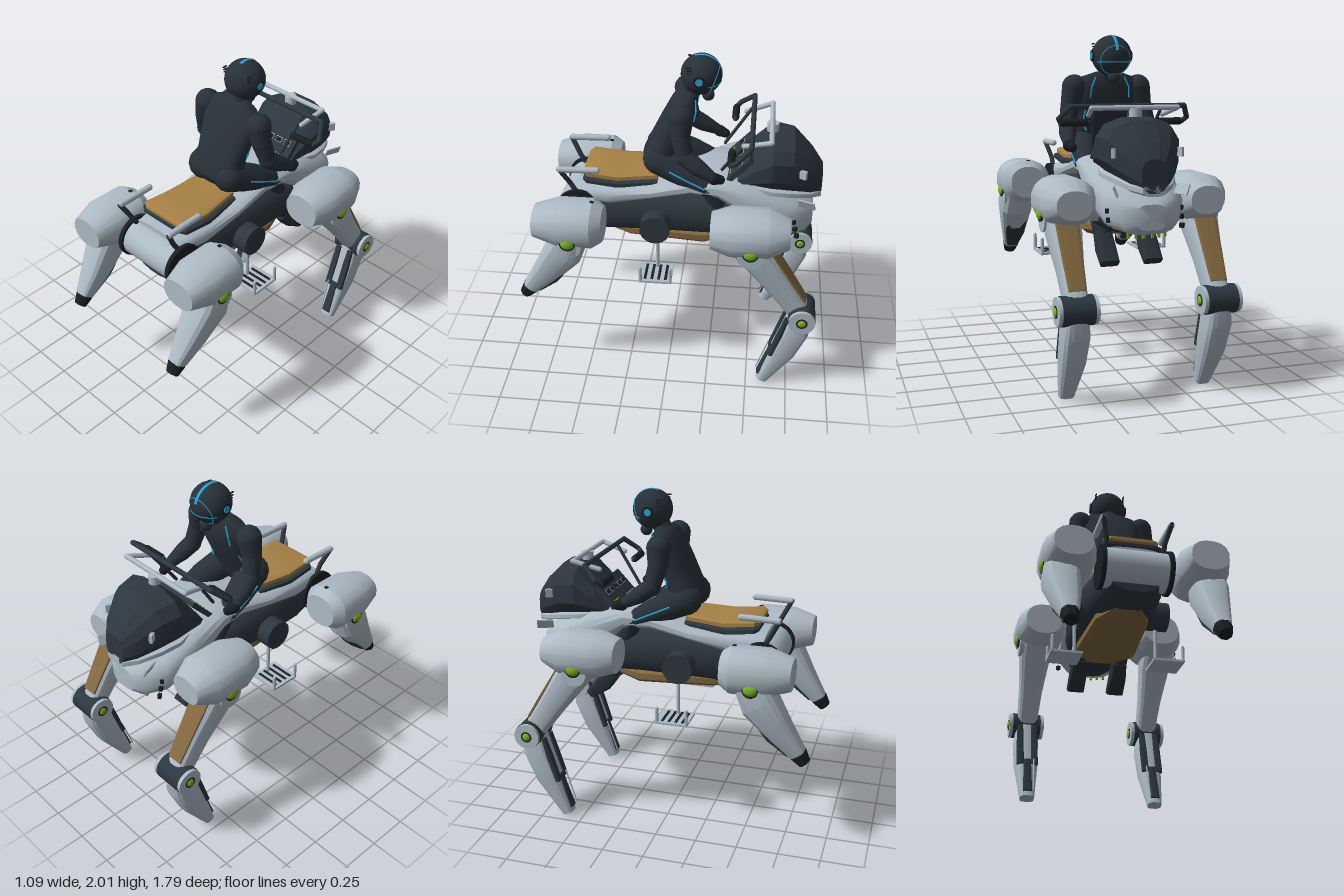
import * as THREE from 'three';
import { mergeGeometries, toCreasedNormals } from 'three/addons/utils/BufferGeometryUtils.js';

const paint = (name, color) => {
  const m = new THREE.MeshStandardMaterial({ color });
  m.name = name;
  return m;
};
const V = (x, y, z) => new THREE.Vector3(x, y, z);

export function createModel() {
  const root = new THREE.Group();
  root.name = 'walkingBikeWithRider';
  const light = paint('paleGrey', 0xadbbc5), dark = paint('darkSlate', 0x2d373f), suit = paint('suitBlack', 0x283138);
  const black = paint('black', 0x1a1e22), tan = paint('tan', 0xa78145), brown = paint('brown', 0x83693f);
  const blue = paint('cyan', 0x27a5d3), green = paint('green', 0x78b622);

  const add = (name, mat, geo, pos = [0, 0, 0], rot = [0, 0, 0]) => {
    const m = new THREE.Mesh(geo, mat);
    m.name = name;
    m.position.set(...pos);
    m.rotation.set(...rot);
    root.add(m);
    return m;
  };

  // Skin over cross-sections [x, y, z, half width, half depth]; e sets how boxy the section is
  const loft = (name, mat, st, { n = 16, e = 2, dir = null, crease = 0.6 } = {}) => {
    const c = st.map(s => V(s[0], s[1], s[2]));
    const t = dir ? V(...dir) : c[c.length - 1].clone().sub(c[0]).normalize();
    const X = V(1, 0, 0).addScaledVector(t, -t.x).normalize();
    const U = new THREE.Vector3().crossVectors(t, X);
    const pos = [], idx = [];
    const curve = v => Math.sign(v) * Math.pow(Math.abs(v), 2 / e);
    st.forEach((s, i) => {
      for (let j = 0; j < n; j++) {
        const a = (j + 0.5) / n * Math.PI * 2;
        const p = c[i].clone().addScaledVector(X, curve(Math.cos(a)) * s[3]).addScaledVector(U, curve(Math.sin(a)) * s[4]);
        pos.push(p.x, p.y, p.z);
      }
    });
    const last = st.length - 1, c0 = st.length * n;
    pos.push(...c[0].toArray(), ...c[last].toArray());
    for (let j = 0; j < n; j++) {
      const k = (j + 1) % n;
      for (let i = 0; i < last; i++) {
        const a = i * n, b = a + n;
        idx.push(a + j, a + k, b + j, a + k, b + k, b + j);
      }
      idx.push(c0, k, j, c0 + 1, last * n + j, last * n + k);
    }
    const g = new THREE.BufferGeometry();
    g.setAttribute('position', new THREE.Float32BufferAttribute(pos, 3));
    g.setIndex(idx);
    return add(name, mat, toCreasedNormals(g, crease));
  };

  // Round rod through points; r may be one radius or one per point
  const rod = (name, mat, pts, r, seg = 10) => {
    const p = pts.map(q => V(...q)), rad = i => Array.isArray(r) ? r[i] : r, parts = [];
    p.forEach((a, i) => {
      parts.push(new THREE.SphereGeometry(rad(i), seg, 8).translate(a.x, a.y, a.z));
      if (!i) return;
      const b = p[i - 1], d = a.clone().sub(b), mid = a.clone().add(b).multiplyScalar(0.5);
      const g = new THREE.CylinderGeometry(rad(i), rad(i - 1), d.length(), seg);
      g.applyQuaternion(new THREE.Quaternion().setFromUnitVectors(V(0, 1, 0), d.normalize()));
      parts.push(g.translate(mid.x, mid.y, mid.z));
    });
    return add(name, mat, mergeGeometries(parts));
  };
  const box = (name, mat, size, pos, rot) => add(name, mat, new THREE.BoxGeometry(...size), pos, rot);
  const drum = (name, mat, r, len, pos, seg = 24) => add(name, mat, new THREE.CylinderGeometry(r, r, len, seg).rotateZ(Math.PI / 2), pos);
  const back = [0, 0, 1], ahead = [0, 0, -1];

  // Hull, shell and belly
  loft('hull', dark, [[0, 1.01, .6, .15, .11], [0, 1.025, .4, .2, .16], [0, 1.05, .1, .235, .165], [0, 1.04, -.3, .24, .15],
    [0, 1.02, -.6, .2, .12], [0, 1.0, -.76, .13, .08]], { dir: ahead, e: 2.6 });
  loft('upperShell', light, [[0, 1.14, .56, .18, .06], [0, 1.15, .36, .21, .07], [0, 1.19, .12, .225, .045], [0, 1.245, -.12, .225, .055],
    [0, 1.25, -.28, .245, .075], [0, 1.15, -.5, .26, .14], [0, 1.06, -.7, .235, .13], [0, 1.03, -.8, .165, .105], [0, 1.025, -.845, .09, .07]],
    { dir: ahead, e: 3, n: 20 });
  loft('bellyPlate', brown, [[0, .88, .42, .08, .012], [0, .892, .25, .16, .05], [0, .885, -.2, .19, .058], [0, .905, -.42, .12, .025]], { dir: ahead, e: 3 });
  drum('rearAxle', light, .115, .36, [0, 1.055, .555], 28);
  drum('frontAxle', light, .1, .5, [0, 1.06, -.48]);

  // Seat with dark rim
  const seat = (dx, dy) => [[0, 1.275 + dy, .525, .13 + dx, .01], [0, 1.275 + dy, .5, .162 + dx, .022], [0, 1.255 + dy, .32, .164 + dx, .022], [0, 1.27 + dy, .08, .14 + dx, .022]];
  loft('seat', tan, seat(0, 0), { dir: ahead, e: 5 });
  loft('seatRim', dark, seat(.02, -.035), { dir: ahead, e: 5 });

  // Fairing, built from upright slices
  const slice = [[-.39, 1.25, 1.31, .18], [-.47, 1.235, 1.43, .215], [-.59, 1.22, 1.55, .24], [-.71, 1.2, 1.535, .21], [-.82, 1.17, 1.43, .145], [-.885, 1.155, 1.34, .075]];
  loft('fairing', dark, slice.map(([z, a, b, w]) => [0, (a + b) / 2, z, w, (b - a) / 2]), { dir: ahead, n: 12, e: 2.6, crease: .3 });
  loft('fairingUnderside', light, slice.slice(1).map(([z, a, , w]) => [0, a + .018, z, w * .9, .032]), { dir: ahead, n: 12, e: 3 });

  // Dashboard with framed screens and lamps
  const slope = [.82, 0, 0];
  box('dashboard', dark, [.37, .03, .24], [0, 1.345, -.385], slope);
  for (let i = 0; i < 5; i++) {
    const x = -.13 + i * .065;
    box('screenFrame', light, [.046, .004, .034], [x, 1.388, -.405], slope);
    box('dashScreen', black, [.039, .007, .027], [x, 1.388, -.405], slope);
    box('dashLamp', green, [.012, .006, .01], [-.14 + i * .028, 1.34, -.357], slope);
    box('dashSwitch', light, [.01, .006, .008], [.04 + i * .025, 1.33, -.347], slope);
  }

  // Handlebar and crossbar
  rod('handlebar', dark, [[.2, 1.505, -.355], [.365, 1.505, -.355], [.385, 1.53, -.385], [.335, 1.6, -.465], [-.335, 1.6, -.465],
    [-.385, 1.53, -.385], [-.365, 1.505, -.355], [-.2, 1.505, -.355]], .015);
  rod('crossbar', light, [[.22, 1.55, -.42], [.25, 1.595, -.575], [-.25, 1.595, -.575], [-.22, 1.55, -.42]], .015);
  add('crossbarMount', light, new THREE.CylinderGeometry(.035, .035, .05, 16), [0, 1.57, -.58]);

  // Rider's torso, neck and head
  loft('torso', suit, [[0, 1.305, .05, .12, .05], [0, 1.34, .07, .17, .09], [0, 1.39, .07, .185, .105], [0, 1.48, .03, .155, .105], [0, 1.6, -.025, .18, .1],
    [0, 1.7, -.06, .19, .08], [0, 1.76, -.075, .16, .06], [0, 1.79, -.085, .07, .04]], { dir: [0, 1, 0], n: 24, e: 2.4, crease: 1.2 });
  rod('neck', suit, [[0, 1.75, -.085], [0, 1.83, -.13]], .055, 16);
  const H = [0, 1.882, -.159];
  add('helmet', suit, new THREE.SphereGeometry(.118, 32, 24), H);
  add('chinGuard', suit, new THREE.SphereGeometry(.036, 16, 12), [0, 1.755, -.2]);
  add('helmetStripe', blue, new THREE.TorusGeometry(.117, .004, 6, 24, 1.65).rotateZ(.25).rotateY(Math.PI / 2).scale(2.6, 1, 1), H);
  add('visorEdge', blue, new THREE.TorusGeometry(.09, .003, 6, 32), [0, H[1] - .028, H[2] - .072], [-.35, 0, 0]);
  add('visorLowerEdge', blue, new THREE.TorusGeometry(.112, .003, 6, 32, 2.3).rotateZ(.42).rotateX(-Math.PI / 2), [0, H[1] - .038, H[2]]);

  for (const s of [-1, 1]) {
    // Helmet ear discs and aerials
    drum('earRing', black, .033, .02, [s * .111, H[1], H[2] + .005]);
    drum('earDisc', blue, .021, .026, [s * .111, H[1], H[2] + .005]);
    for (let i = 0; i < 3; i++) box('aerial', black, [.008, .006, .03], [s * .092, 1.92 + i * .016, -.1 + i * .005]);

    // Rider's arms and hands
    rod('upperArm', suit, [[s * .2, 1.7, -.06], [s * .225, 1.6, -.06], [s * .25, 1.48, -.09]], [.074, .058, .05], 16);
    rod('forearm', suit, [[s * .25, 1.48, -.09], [s * .27, 1.43, -.16], [s * .29, 1.375, -.255]], [.054, .05, .03], 16);
    rod('hand', black, [[s * .29, 1.37, -.26], [s * .28, 1.36, -.295]], [.036, .028]);
    rod('collarLine', blue, [[s * .09, 1.755, -.134], [s * .115, 1.7, -.14], [s * .12, 1.64, -.128]], .005, 6);
    rod('ribLine', blue, [[s * .135, 1.56, -.075], [s * .14, 1.48, -.035], [s * .12, 1.44, -.04]], .006, 6);

    // Rider's legs and feet
    rod('thigh', suit, [[s * .1, 1.375, .075], [s * .15, 1.3, -.1], [s * .18, 1.24, -.23]], [.095, .08, .058], 16);
    rod('thighLine', blue, [[s * .212, 1.35, .0], [s * .227, 1.31, -.09], [s * .236, 1.26, -.2]], .006, 6);
    rod('shin', suit, [[s * .18, 1.24, -.23], [s * .13, .86, -.4]], [.056, .05], 12);
    loft('boot', suit, [[s * .13, .88, -.38, .045, .05], [s * .13, .8, -.44, .053, .052], [s * .13, .72, -.53, .055, .03]], { e: 5 });

    // Handlebar stem, grip, fairing vent and side fin
    rod('stem', dark, [[s * .16, 1.36, -.3], [s * .2, 1.6, -.465]], .01);
    rod('grip', black, [[s * .22, 1.505, -.355], [s * .35, 1.505, -.355]], .022);
    box('fairingVent', light, [.02, .05, .045], [s * .187, 1.365, -.765], [0, s * -.55, 0]);
    box('fin', light, [.008, .06, .1], [s * .19, 1.165, -.8], [0, s * -.35, s * -.4]);
    for (let i = 0; i < 3; i++) {
      box('noseSlot', black, [.02, .026, .024], [s * .21, 1.055 - i * .048, -.73 - i * .012], [0, s * -.55, 0]);
      box('noseLamp', green, [.014, .03, .014], [s * (.025 + i * .04), .92, -.79 + i * .012]);
    }

    // Rear axle ring and grab rail
    drum('axleRing', black, .13, .025, [s * .195, 1.055, .555], 28);
    rod('grabRail', light, [[s * .2, 1.33, .43], [s * .2, 1.325, .65]], .019);
    rod('railStrut', dark, [[s * .2, 1.325, .655], [s * .17, 1.22, .6], [s * .17, 1.15, .56]], .015);

    // Side hub, step post and ribbed step
    drum('sideHub', dark, .09, .14, [s * .25, 1.01, .08]);
    rod('stepPost', light, [[s * .25, .95, .07], [s * .25, .7, .07]], .011);
    box('stepPlate', light, [.19, .014, .19], [s * .31, .695, .07]);
    for (let i = 0; i < 4; i++) box('stepGroove', black, [.15, .004, .016], [s * .31, .703, .01 + i * .041]);
    for (const z of [-.02, .16]) rod('stepGuard', light, [[s * .395, .695, z], [s * .395, .785, z]], .01);

    // Hip pods
    const pod = (name, st) => loft(name, light, st.map(([z, w, h]) => [s * .385, 1.085, z, w, h]), { dir: back, n: 16, e: 2.3, crease: .5 });
    pod('rearPod', [[.37, .11, .1], [.43, .155, .135], [.63, .155, .135], [.775, .11, .09]]);
    pod('frontPod', [[-.71, .1, .08], [-.59, .16, .135], [-.37, .16, .135], [-.255, .115, .1]]);
    box('podMarker', black, [.02, .006, .02], [s * .37, 1.219, .435]);
    for (const z of [.56, -.49]) {
      drum('hipDisc', light, .075, .12, [s * .455, .99, z]);
      drum('hipSocket', black, .046, .05, [s * .502, 1.02, z]);
      add('hipLight', green, new THREE.SphereGeometry(.04, 16, 12).scale(.55, .9, 1.05), [s * .522, 1.02, z]);
    }

    // Rear leg
    loft('rearLeg', light, [[s * .42, 1.04, .54, .1, .1], [s * .425, .92, .6, .108, .115], [s * .415, .75, .72, .08, .082], [s * .41, .62, .825, .05, .05]], { e: 2.8, crease: .4 });
    loft('rearCalf', dark, [[s * .418, .89, .54, .075, .03], [s * .414, .72, .672, .064, .032], [s * .41, .62, .78, .038, .025]], { e: 4 });
    loft('rearFoot', black, [[s * .41, .65, .8, .045, .05], [s * .41, .615, .83, .054, .053], [s * .41, .565, .868, .04, .036]], { n: 8, crease: .3 });

    // Front leg: thigh, guard, knee, shin
    loft('frontThigh', light, [[s * .405, 1.04, -.46, .1, .11], [s * .405, .93, -.545, .1, .1], [s * .405, .75, -.67, .075, .082], [s * .405, .58, -.785, .065, .07]], { e: 3, crease: .4 });
    loft('thighGuard', brown, [[s * .405, .98, -.621, .066, .009], [s * .405, .8, -.733, .057, .009], [s * .405, .65, -.823, .048, .009]], { e: 6 });
    drum('knee', dark, .082, .18, [s * .41, .545, -.813]);
    for (const o of [-1, 1]) {
      const x = s * (.41 + o * .1);
      drum('kneeDisc', light, .079, .022, [x, .545, -.813]);
      drum('kneeRing', black, .034, .028, [x, .545, -.813]);
      add('kneeLight', green, new THREE.SphereGeometry(.026, 14, 10).scale(.5, 1, 1), [x + s * o * .011, .545, -.813]);
    }
    loft('frontShin', light, [[s * .41, .55, -.81, .062, .07], [s * .41, .42, -.785, .08, .085], [s * .41, .25, -.72, .074, .078], [s * .41, .008, -.6, .045, .036]], { e: 3, crease: .4 });
    for (const x of [.365, .455]) loft('shinPanel', dark, [[s * x, .52, -.728, .018, .012], [s * x, .4, -.693, .022, .016], [s * x, .24, -.642, .022, .014]], { e: 5 });
    loft('shinInset', dark, [[s * .41, .27, -.655, .024, .016], [s * .41, .05, -.578, .028, .014]], { e: 5 });
    rod('shinRod', light, [[s * .37, .27, -.63], [s * .375, .06, -.562]], .005, 6);
  }

  return root;
}
